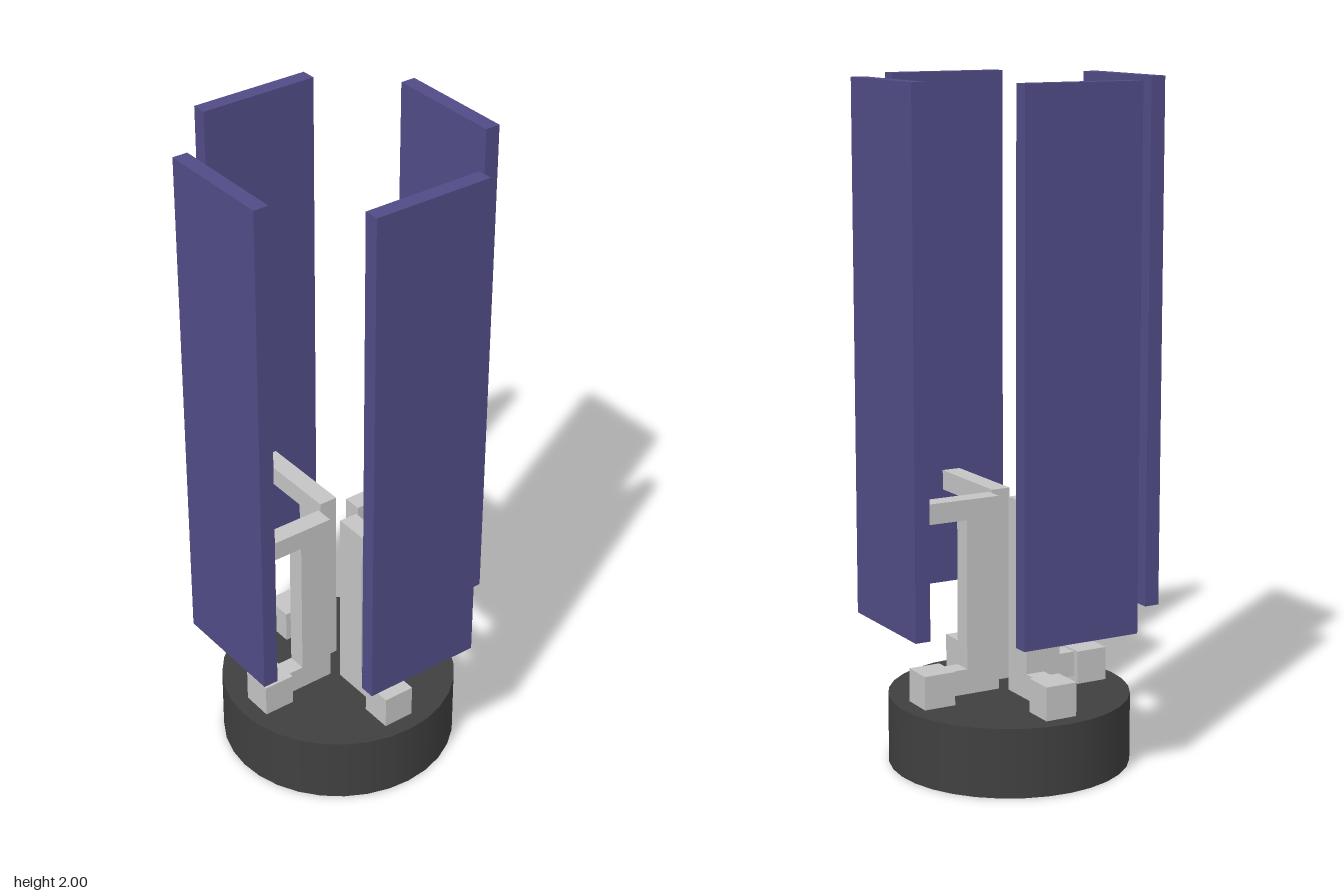
import * as THREE from 'three';

export function createModel() {
  const model = new THREE.Group();
  const darkGrey = new THREE.MeshStandardMaterial({ name: 'dark grey', color: 0x404040 });
  const lightGrey = new THREE.MeshStandardMaterial({ name: 'light grey', color: 0xc5c5c5 });
  const purple = new THREE.MeshStandardMaterial({ name: 'purple', color: 0x514c87 });

  const add = (parent, name, geometry, material, x = 0, y = 0, z = 0) => {
    const mesh = new THREE.Mesh(geometry, material);
    mesh.name = name;
    mesh.position.set(x, y, z);
    parent.add(mesh);
  };

  // Round base
  add(model, 'base', new THREE.CylinderGeometry(0.357, 0.357, 0.205, 32), darkGrey, 0, 0.1025, 0);

  // C-shaped bracket: outline in (radius, height), extruded to its width
  const outline = [
    [0.05, 0.225], [0.25, 0.225], [0.25, 0.3], [0.155, 0.3],
    [0.155, 0.745], [0.358, 0.745], [0.358, 0.805], [0.05, 0.805],
  ].map(([r, y]) => new THREE.Vector2(r, y));
  const bracket = new THREE.ExtrudeGeometry(new THREE.Shape(outline), { depth: 0.058, bevelEnabled: false });
  bracket.translate(0, 0, -0.029).rotateY(-Math.PI / 2); // radius now runs along +z

  const foot = new THREE.BoxGeometry(0.098, 0.1, 0.098);
  const panel = new THREE.BoxGeometry(0.368, 1.545, 0.046);

  // Four identical arms around the vertical axis
  for (let i = 0; i < 4; i++) {
    const arm = new THREE.Group();
    arm.name = 'arm' + (i + 1);
    add(arm, 'bracket', bracket, lightGrey, -0.001);
    add(arm, 'foot', foot, lightGrey, -0.001, 0.255, 0.255);
    add(arm, 'panel', panel, purple, 0.003, 1.2275, 0.381);
    arm.rotation.y = i * Math.PI / 2;
    model.add(arm);
  }
  return model;
}
